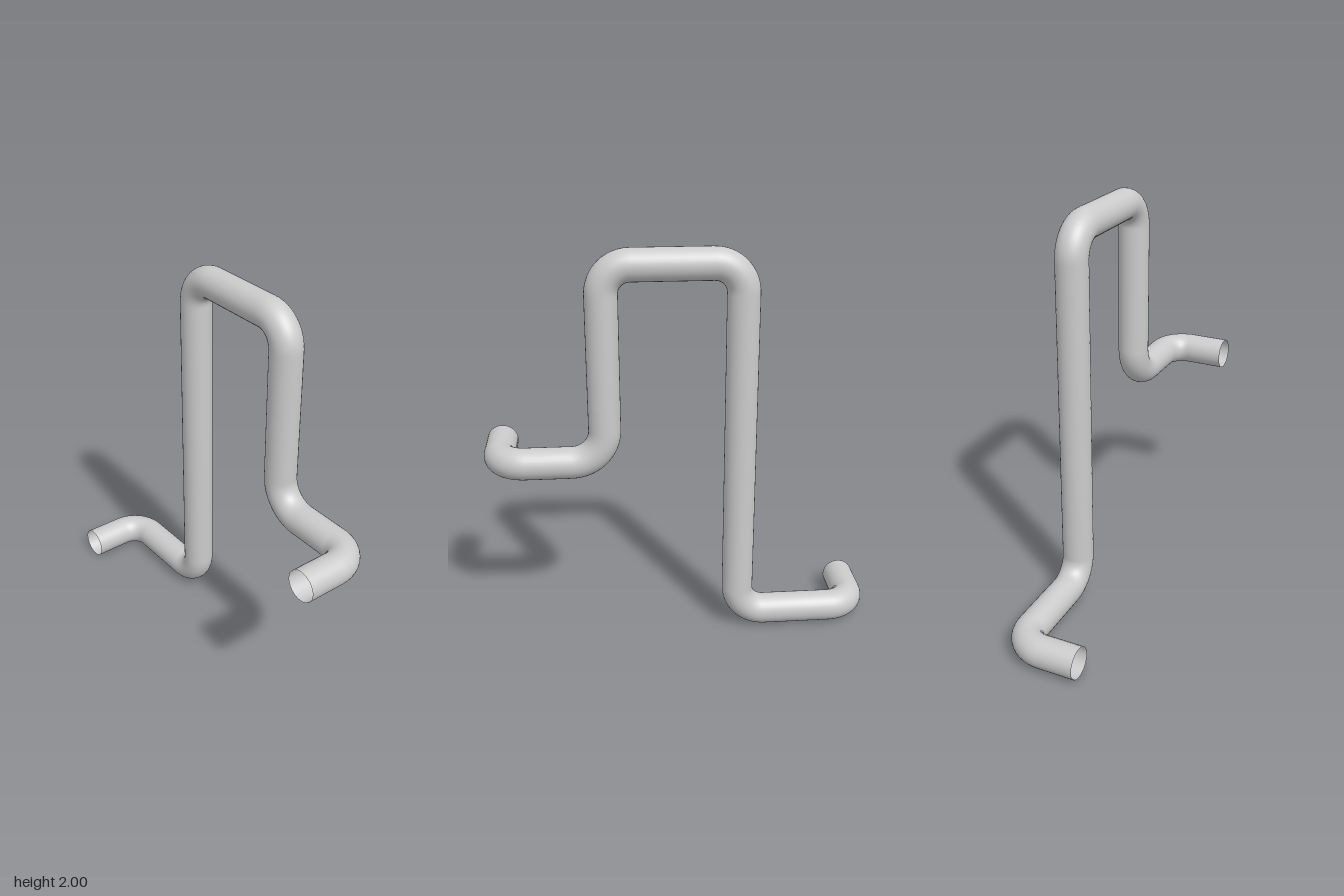
import * as THREE from 'three';

const TUBE_RADIUS = 0.079;

// Quarter-circle bend that rounds the corner between two straight runs
class BendCurve extends THREE.Curve {
  constructor(corner, dirIn, dirOut, radius) {
    super();
    Object.assign(this, { corner, dirIn, dirOut, radius });
  }
  getPoint(t, target = new THREE.Vector3()) {
    const angle = t * Math.PI / 2;
    return target.copy(this.corner)
      .addScaledVector(this.dirIn, this.radius * (Math.sin(angle) - 1))
      .addScaledVector(this.dirOut, this.radius * (1 - Math.cos(angle)));
  }
}

// Straight runs joined by bends; radii[i] belongs to the corner points[i + 1]
function bentPath(points, radii) {
  const path = new THREE.CurvePath();
  let start = points[0];
  for (let i = 1; i < points.length - 1; i++) {
    const dirIn = points[i].clone().sub(points[i - 1]).normalize();
    const dirOut = points[i + 1].clone().sub(points[i]).normalize();
    const r = radii[i - 1];
    path.add(new THREE.LineCurve3(start, points[i].clone().addScaledVector(dirIn, -r)));
    path.add(new BendCurve(points[i], dirIn, dirOut, r));
    start = points[i].clone().addScaledVector(dirOut, r);
  }
  path.add(new THREE.LineCurve3(start, points[points.length - 1]));
  path.arcLengthDivisions = 800;
  return path;
}

export function createModel() {
  const group = new THREE.Group();
  group.name = 'bentPipe';

  // Centre line from the raised front end, over the arch, to the low rear end
  const corners = [
    [-0.203, 0.953, 0.9],
    [0.123, 0.953, 0.9],
    [0.123, 0.953, 0.378],
    [0.123, 1.921, 0.378],
    [0.123, 1.921, -0.286],
    [0.123, 0.079, -0.286],
    [0.123, 0.079, -0.9],
    [-0.203, 0.079, -0.9],
  ].map((p) => new THREE.Vector3(...p));
  const path = bentPath(corners, [0.13, 0.165, 0.135, 0.14, 0.14, 0.13]);

  // Open-ended round pipe
  const pipe = new THREE.Mesh(
    new THREE.TubeGeometry(path, 280, TUBE_RADIUS, 32, false),
    new THREE.MeshStandardMaterial({ color: 0xcccccc, side: THREE.DoubleSide }),
  );
  pipe.name = 'pipe';
  group.add(pipe);
  return group;
}
